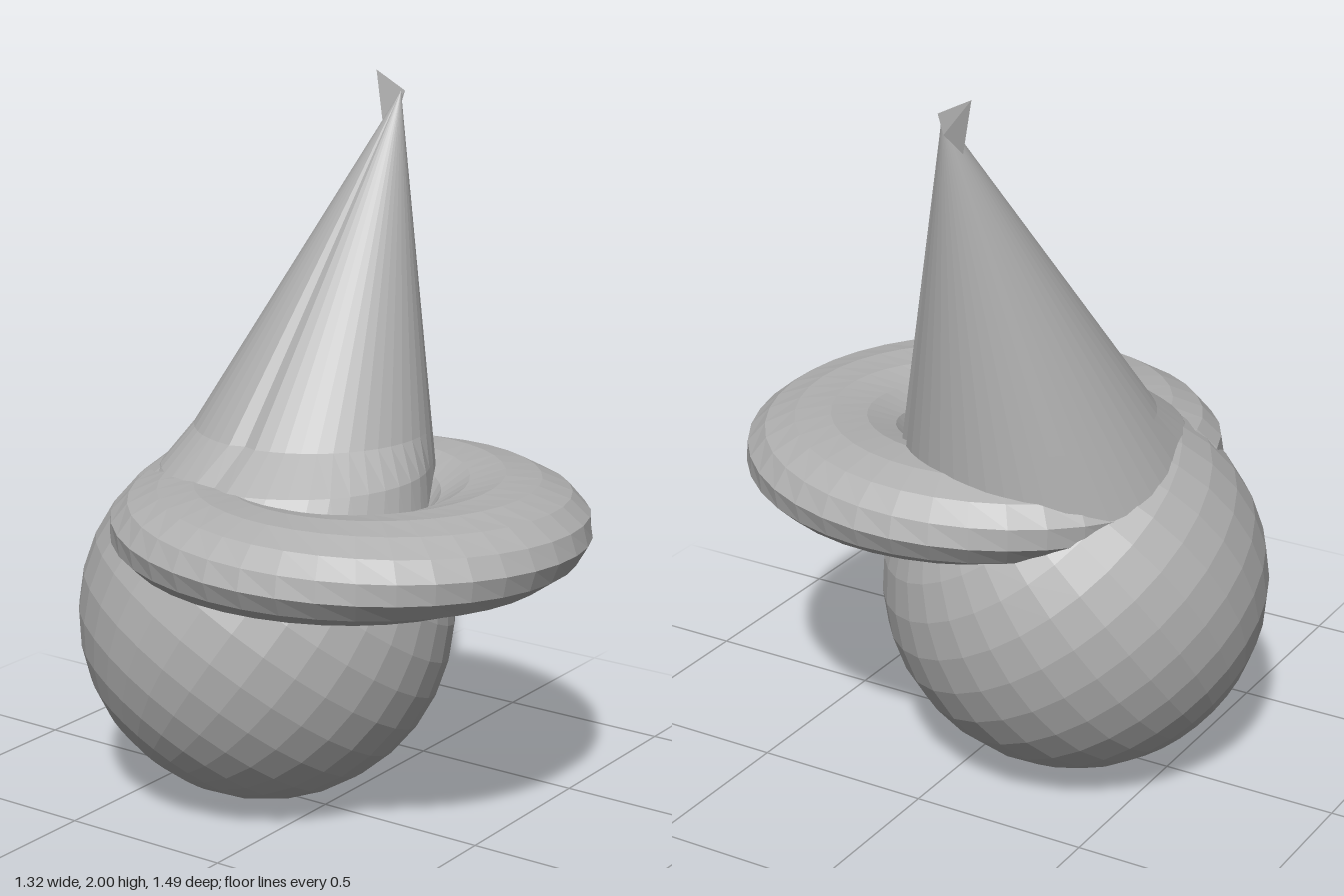
import * as THREE from 'three';

const TAU = Math.PI * 2;

// Surface from a grid of points: i runs around, j runs upward
function gridSurface(ni, nj, pointAt) {
  const positions = [], index = [];
  for (let i = 0; i <= ni; i++)
    for (let j = 0; j <= nj; j++) positions.push(...pointAt(i / ni, j / nj, i, j));
  for (let i = 0; i < ni; i++)
    for (let j = 0; j < nj; j++) {
      const a = i * (nj + 1) + j, b = a + 1, d = a + nj + 1, c = d + 1;
      index.push(a, b, c, a, c, d);
    }
  const geometry = new THREE.BufferGeometry();
  geometry.setAttribute('position', new THREE.Float32BufferAttribute(positions, 3));
  geometry.setIndex(index);
  geometry.computeVertexNormals();
  return geometry;
}

export function createModel() {
  const model = new THREE.Group();
  model.name = 'hattedBall';
  const grey = new THREE.MeshStandardMaterial({ color: 0xb0b0b0 });
  grey.name = 'plain grey';
  grey.flatShading = true;
  grey.side = THREE.DoubleSide;
  const add = (name, geometry) => {
    const mesh = new THREE.Mesh(geometry, grey);
    mesh.name = name;
    model.add(mesh);
    return mesh;
  };

  // Faceted ball with a leaning pole
  const ball = add('ball', new THREE.SphereGeometry(0.53, 32, 16));
  ball.position.set(0.02, 0.53, -0.215);
  ball.quaternion.setFromUnitVectors(
    new THREE.Vector3(0, 1, 0), new THREE.Vector3(0.4, 0.8, 0.44).normalize());

  // Flattened ring brim whose facets spiral around the tube
  add('brim', gridSurface(40, 14, (u, v) => {
    const around = u * TAU, tube = (v + u * 4 / 14) * TAU;
    const r = 0.43 + 0.23 * Math.cos(tube);
    return [r * Math.cos(around), 0.85 + 0.13 * Math.sin(tube), 0.085 + r * Math.sin(around)];
  }));

  // Leaning cone with a flared foot on one side and two creases
  const levels = [0.8, 0.97, 1.06, 1.95];
  const creases = { 7: 0.93, 24: 0.95 };
  add('cone', gridSurface(48, 3, (u, v, i, j) => {
    const a = u * TAU, y = levels[j], t = (y - 1) / 0.95;
    const flare = j < 2 ? 0.075 * Math.max(0, Math.cos(a - 2.85)) : 0;
    const r = (0.355 * (1 - t) + flare) * (creases[i] ?? 1);
    return [
      0.13 + 0.375 * t + r * Math.cos(a), y,
      -0.155 + 0.055 * t + r * Math.sin(a),
    ];
  }));

  // Folded flap at the point
  const tip = new THREE.BufferGeometry();
  tip.setAttribute('position', new THREE.Float32BufferAttribute([
    0.51, 1.95, -0.09,
    0.515, 2.0, -0.19,
    0.49, 1.85, -0.15,
    0.516, 1.9, -0.11,
  ], 3));
  tip.setIndex([0, 1, 2, 0, 3, 1, 3, 2, 1]);
  tip.computeVertexNormals();
  add('foldedTip', tip);

  return model;
}
